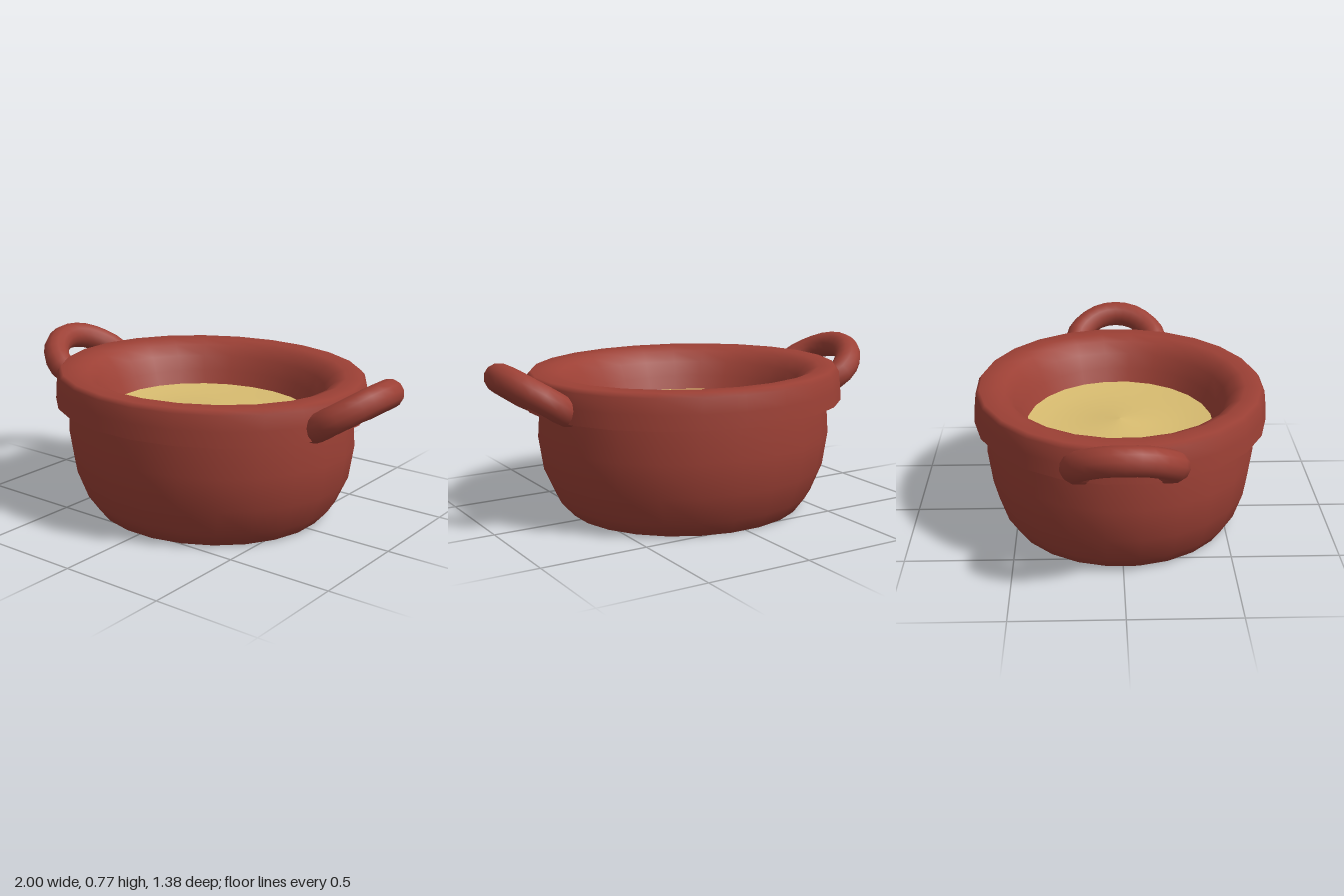
import * as THREE from 'three';

const SEGMENTS = 24;
const DEPTH = 0.89; // oval: depth relative to width

// Oval turned surface from [radius, height] points
function ovalLathe(profile, name, material) {
  const points = profile.map(([r, y]) => new THREE.Vector2(r / Math.cos(Math.PI / SEGMENTS), y));
  const geometry = new THREE.LatheGeometry(points, SEGMENTS, Math.PI / SEGMENTS);
  geometry.scale(1, 1, DEPTH);
  const mesh = new THREE.Mesh(geometry, material);
  mesh.name = name;
  return mesh;
}

export function createModel() {
  const group = new THREE.Group();
  group.name = 'cookingPot';
  const clay = new THREE.MeshStandardMaterial({ color: 0x9c4035, side: THREE.DoubleSide });
  const broth = new THREE.MeshStandardMaterial({ color: 0xd8bc70, side: THREE.DoubleSide });

  // Rounded bowl with a closed base
  const bowl = ovalLathe([
    [0, 0], [0.567, 0], [0.63, 0.07], [0.69, 0.2], [0.714, 0.36], [0.702, 0.53],
  ], 'bowl', clay);
  // The foot is slightly rounder than the rest of the oval
  const position = bowl.geometry.attributes.position;
  for (let i = 0; i < position.count; i++) {
    const widen = 1 + 0.05 * Math.max(0, 1 - position.getY(i) / 0.12);
    position.setZ(i, position.getZ(i) * widen);
  }
  group.add(bowl);

  // Overhanging rim: underside, outer band, rounded lip and inner wall
  group.add(ovalLathe([[0.69, 0.52], [0.774, 0.52]], 'rimUnderside', clay));
  group.add(ovalLathe([
    [0.774, 0.52], [0.769, 0.59], [0.76, 0.66], [0.742, 0.68], [0.66, 0.68],
    [0.61, 0.66], [0.565, 0.61], [0.53, 0.54], [0.495, 0.465],
  ], 'rim', clay));

  // Contents, gently dished with a low mound in the middle
  group.add(ovalLathe([
    [0.5, 0.475], [0.4, 0.464], [0.28, 0.46], [0.14, 0.468], [0, 0.485],
  ], 'soup', broth));

  // Looped handles rising outwards from the rim
  const half = [
    [0.71, 0.56, 0.18], [0.745, 0.578, 0.202], [0.80, 0.615, 0.208],
    [0.87, 0.66, 0.165], [0.918, 0.695, 0.09],
  ];
  for (const side of [1, -1]) {
    const path = [
      ...half,
      [0.936, 0.706, 0],
      ...half.map(([x, y, z]) => [x, y, -z]).reverse(),
    ].map(([x, y, z]) => new THREE.Vector3(side * x, y, z));
    const handle = new THREE.Group();
    handle.name = side > 0 ? 'leftHandle' : 'rightHandle';
    const loop = new THREE.Mesh(
      new THREE.TubeGeometry(new THREE.CatmullRomCurve3(path), 16, 0.064, 12), clay);
    loop.name = 'handleLoop';
    handle.add(loop);
    // Rounded ends where the loop meets the rim
    for (const end of [path[0], path[path.length - 1]]) {
      const cap = new THREE.Mesh(new THREE.SphereGeometry(0.063, 12, 8), clay);
      cap.name = 'handleEnd';
      cap.position.copy(end);
      handle.add(cap);
    }
    group.add(handle);
  }
  return group;
}
